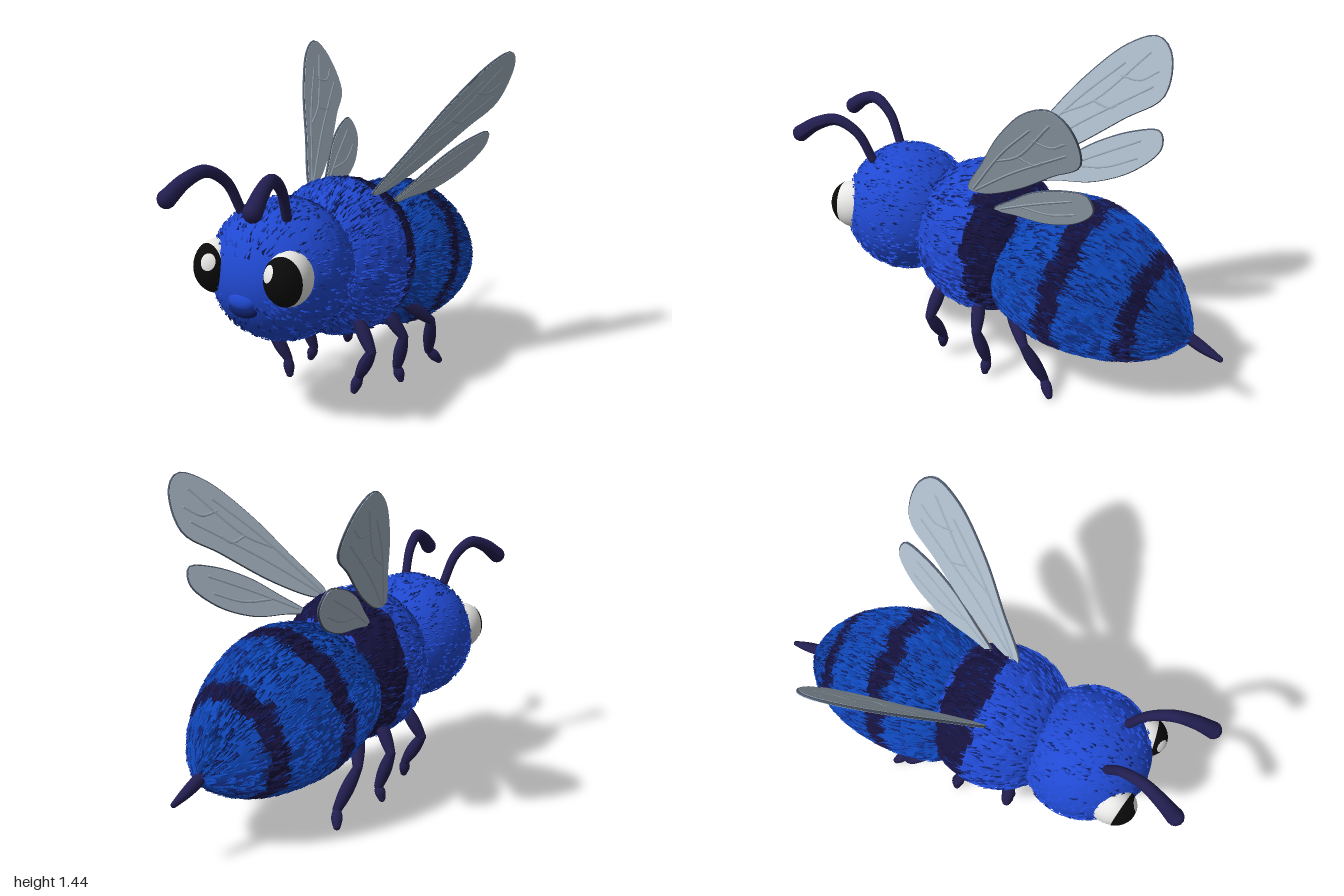
import * as THREE from 'three';

const V = (x, y, z) => new THREE.Vector3(x, y, z);
const paint = (name, color, double) => {
  const m = new THREE.MeshStandardMaterial({ color });
  m.name = name;
  if (double) m.side = THREE.DoubleSide;
  return m;
};

let seed = 7;
const rand = () => {
  seed = (seed * 16807) % 2147483647;
  return seed / 2147483647;
};

// Ellipsoid surface: t runs front to back, a runs around from the top
const ellipsoid = (cy, cz, rx, ry, rz) => (t, a) => {
  const s = Math.sin(Math.PI * t);
  return V(rx * s * Math.sin(a), cy + ry * s * Math.cos(a), cz + rz * Math.cos(Math.PI * t));
};

// Surface through tilted rings [topZ, topY, bottomZ, bottomY, halfWidth]
function ringSurface(rings) {
  const top = new THREE.CatmullRomCurve3(rings.map((r) => V(r[4], r[1], r[0])));
  const bottom = new THREE.CatmullRomCurve3(rings.map((r) => V(0, r[3], r[2])));
  return (t, a) => {
    const p = top.getPoint(t), q = bottom.getPoint(t), k = (1 + Math.cos(a)) / 2;
    return V(p.x * Math.sin(a), q.y + (p.y - q.y) * k, q.z + (p.z - q.z) * k);
  };
}

// Body segment with dark bands and a coat of small tufts
function furryPart(name, surface, coat, band, fleck, o) {
  const g = new THREE.Group();
  g.name = name;
  const N = 72, M = 64, pos = [], plain = [], dark = [];
  const isDark = (t, a) => o.bands.some(([lo, hi]) => {
    const w = 0.008 * Math.sin(a * 9) + 0.006 * Math.sin(a * 17);
    return t > lo + w && t < hi + w;
  });
  for (let i = 0; i <= N; i++) for (let j = 0; j < M; j++) {
    const t = i / N, p = surface(t, (j / M) * Math.PI * 2);
    const c = surface(t, 0).add(surface(t, Math.PI)).multiplyScalar(0.5);
    if (t > o.bald && t < 0.95) p.lerp(c, -(rand() - 0.5) * o.rough);
    pos.push(p.x, p.y, p.z);
  }
  for (let i = 0; i < N; i++) for (let j = 0; j < M; j++) {
    const k = (j + 1) % M, A = i * M + j, B = i * M + k, C = A + M, D = B + M;
    (isDark((i + 0.5) / N, (j / M) * Math.PI * 2) ? dark : plain).push(A, B, C, C, B, D);
  }
  const geo = new THREE.BufferGeometry();
  geo.setAttribute('position', new THREE.Float32BufferAttribute(pos, 3));
  geo.setIndex(plain.concat(dark));
  geo.addGroup(0, plain.length, 0);
  geo.addGroup(plain.length, dark.length, 1);
  geo.computeVertexNormals();
  const skin = new THREE.Mesh(geo, [coat, band]);
  skin.name = name + 'Skin';
  g.add(skin);

  // Tufts lie backwards along the surface
  const tufts = new Map([[coat, []], [band, []], [fleck, []]]);
  for (let n = 0; n < o.count; n++) {
    const t = o.bald + rand() * (0.97 - o.bald), a = rand() * Math.PI * 2, p = surface(t, a);
    const da = surface(t, a + 0.01).sub(p), d = surface(t + 0.01, a).sub(p).normalize();
    if (rand() > da.length() / 0.0033) continue;
    const nrm = da.cross(d).normalize(), s = nrm.clone().cross(d);
    const L = o.length * (0.6 + 0.8 * rand()), w = 0.0035 + 0.003 * rand();
    d.addScaledVector(s, (rand() - 0.5) * 0.5);
    const tip = p.clone().addScaledVector(d, L).addScaledVector(nrm, L * 0.22);
    const mid = p.clone().addScaledVector(nrm, 0.008);
    const l = p.clone().addScaledVector(s, -w), r = p.clone().addScaledVector(s, w);
    const mat = isDark(t, a) ? (rand() < 0.85 ? band : fleck) : rand() < o.flecks ? fleck : coat;
    for (const v of [l, tip, mid, mid, tip, r]) tufts.get(mat).push(v.x, v.y, v.z);
  }
  for (const [mat, list] of tufts) {
    if (!list.length) continue;
    const tg = new THREE.BufferGeometry();
    tg.setAttribute('position', new THREE.Float32BufferAttribute(list, 3));
    tg.computeVertexNormals();
    const m = new THREE.Mesh(tg, mat);
    m.name = name + 'Tufts';
    g.add(m);
  }
  return g;
}

// Round tube with changing radius and rounded ends
function limb(name, points, radius, mat, n = 16) {
  const g = new THREE.Group();
  g.name = name;
  const curve = new THREE.CatmullRomCurve3(points.map((p) => V(...p)));
  const geo = new THREE.TubeGeometry(curve, n, 1, 12), P = geo.attributes.position, v = V();
  for (let i = 0; i < P.count; i++) {
    const t = Math.floor(i / 13) / n, c = curve.getPointAt(t);
    v.fromBufferAttribute(P, i).sub(c).multiplyScalar(radius(t)).add(c);
    P.setXYZ(i, v.x, v.y, v.z);
  }
  geo.computeVertexNormals();
  g.add(new THREE.Mesh(geo, mat));
  for (const t of [0, 1]) {
    const cap = new THREE.Mesh(new THREE.SphereGeometry(radius(t), 12, 8), mat);
    cap.position.copy(curve.getPointAt(t));
    g.add(cap);
  }
  g.children.forEach((c) => (c.name = name + 'Piece'));
  return g;
}

// Thin wing: outline and veins are [z, y] points, x follows a sloping plane
function wing(name, outline, veins, plane, skin, vein, rim) {
  const g = new THREE.Group();
  g.name = name;
  const shape = new THREE.Shape();
  const edge = new THREE.CatmullRomCurve3(outline.map(([z, y]) => V(-z, y, 0)), true).getPoints(60);
  shape.setFromPoints(edge.map((p) => new THREE.Vector2(p.x, p.y)));
  const geo = new THREE.ExtrudeGeometry(shape, { depth: 0.014, bevelEnabled: false });
  const P = geo.attributes.position;
  for (let i = 0; i < P.count; i++) {
    const z = -P.getX(i), y = P.getY(i);
    P.setXYZ(i, plane(z, y) + P.getZ(i) - 0.007, y, z);
  }
  geo.computeVertexNormals();
  const m = new THREE.Mesh(geo, skin);
  m.name = name + 'Membrane';
  g.add(m);
  const to3 = (l) => l.map(([z, y]) => [plane(z, y), y, z]);
  g.add(limb(name + 'Rim', to3(edge.map((p) => [-p.x, p.y])), () => 0.005, rim, 60));
  veins.forEach((l) => g.add(limb(name + 'Vein', to3(l), () => 0.0085, vein, 10)));
  return g;
}

export function createModel() {
  const blue = paint('bright blue fur', 0x2049d2, true), deep = paint('deep blue fur', 0x0e46b8, true);
  const band = paint('dark band fur', 0x15123e, true), fleck = paint('navy fleck fur', 0x102372, true);
  const limbMat = paint('dark purple limbs', 0x221e50), black = paint('black pupil', 0x0a0a0a);
  const white = paint('eye white', 0xe8e8e6), wingMat = paint('grey wing', 0xabbac8, true);
  const veinMat = paint('wing vein', 0x9eadbb), rimMat = paint('wing rim', 0x4f5a6c);
  const model = new THREE.Group();
  model.name = 'bee';

  // Body
  model.add(furryPart('head', ellipsoid(0.635, 0.525, 0.29, 0.285, 0.28), blue, band, fleck,
    { bands: [], bald: 0.12, rough: 0.01, count: 2200, length: 0.023, flecks: 0.25 }));
  model.add(furryPart('thorax', ellipsoid(0.588, 0.11, 0.315, 0.335, 0.32), blue, band, fleck,
    { bands: [[0.54, 0.745]], bald: 0.1, rough: 0.035, count: 4200, length: 0.036, flecks: 0.33 }));
  const abdomen = ringSurface([
    [0, 0.7, 0.03, 0.36, 0.22], [-0.12, 0.79, -0.06, 0.28, 0.285], [-0.27, 0.835, -0.15, 0.22, 0.315],
    [-0.4, 0.83, -0.24, 0.185, 0.32], [-0.52, 0.785, -0.37, 0.17, 0.308], [-0.63, 0.71, -0.52, 0.175, 0.272],
    [-0.72, 0.61, -0.66, 0.205, 0.215], [-0.79, 0.505, -0.76, 0.25, 0.14], [-0.835, 0.4, -0.825, 0.3, 0.06],
    [-0.853, 0.346, -0.853, 0.344, 0.001]]);
  model.add(furryPart('abdomen', abdomen, deep, band, fleck,
    { bands: [[0.295, 0.38], [0.585, 0.66]], bald: 0.08, rough: 0.04, count: 7500, length: 0.038, flecks: 0.33 }));
  model.add(limb('stinger', [[0, 0.36, -0.8], [0, 0.31, -0.9], [0, 0.272, -0.988]],
    (t) => 0.012 + 0.014 * Math.sin(Math.PI * Math.min(1, t * 0.8 + 0.2)), limbMat));

  // Nose and mouth
  const ball = (name, mat, p, r) => {
    const m = new THREE.Mesh(new THREE.SphereGeometry(1, 32, 20), mat);
    m.name = name;
    m.position.set(...p);
    m.scale.set(...r);
    return m;
  };
  model.add(ball('nose', blue, [0, 0.568, 0.777], [0.066, 0.042, 0.036]));
  model.add(ball('mouth', fleck, [0, 0.537, 0.772], [0.068, 0.038, 0.036]));

  // Everything that comes in pairs, built for the left and mirrored
  const side = (name) => {
    const g = new THREE.Group();
    g.name = name;
    const at = [0.17, 0.667, 0.71], r = [0.09, 0.108, 0.108];
    g.add(ball('eyeball', white, at, r));
    const cap = (label, mat, half, grow, up, turn) => {
      const geo = new THREE.SphereGeometry(1, 32, 14, 0, Math.PI * 2, 0, half);
      const m = new THREE.Mesh(geo.rotateX(Math.PI / 2 - up).rotateY(turn), mat);
      m.name = label;
      m.position.set(...at);
      m.scale.set(...r.map((v) => v * grow));
      g.add(m);
    };
    cap('pupil', black, 1.09, 1.025, 0, 0.15);
    cap('eyeHighlight', white, 0.31, 1.045, 0.36, -0.32);

    g.add(limb('antenna', [[0.11, 0.88, 0.64], [0.13, 1.0, 0.7], [0.155, 1.055, 0.79],
      [0.18, 1.03, 0.88], [0.2, 0.975, 0.96]], (t) => 0.02 + 0.017 * t * t, limbMat, 24));

    const legs = {
      frontLeg: [[0.17, 0.39, 0.25], [0.258, 0.25, 0.27], [0.185, 0.125, 0.25], [0.168, 0.06, 0.262]],
      middleLeg: [[0.17, 0.39, 0.06], [0.268, 0.245, 0.025], [0.222, 0.09, 0], [0.24, 0.037, 0]],
      hindLeg: [[0.17, 0.38, -0.08], [0.27, 0.25, -0.21], [0.22, 0.075, -0.285], [0.252, 0.022, -0.325]],
    };
    for (const [label, j] of Object.entries(legs)) {
      [0.029, 0.028, 0.023].forEach((w, i) => g.add(limb(label + ['Thigh', 'Shin', 'Foot'][i],
        [j[i], j[i + 1]], (t) => w * (0.7 + 0.34 * Math.sin(Math.PI * t)), limbMat, 8)));
    }

    g.add(wing('forewing',
      [[0.11, 0.875], [-0.02, 1.06], [-0.155, 1.24], [-0.32, 1.395], [-0.44, 1.435], [-0.51, 1.37],
        [-0.515, 1.21], [-0.37, 1.11], [-0.155, 0.965], [0.04, 0.875]],
      [[[0.08, 0.89], [-0.15, 1.16], [-0.32, 1.32]], [[0.07, 0.885], [-0.17, 1.06], [-0.46, 1.24]],
        [[-0.1, 1.1], [-0.22, 1.16], [-0.42, 1.37]], [[-0.22, 1.16], [-0.3, 1.14], [-0.34, 1.17]],
        [[-0.32, 1.27], [-0.4, 1.26], [-0.47, 1.3]]],
      (z, y) => 0.375 + 0.48 * (y - 1.24) - 0.15 * (z + 0.155), wingMat, veinMat, rimMat));
    g.add(wing('hindwing',
      [[-0.02, 0.815], [-0.13, 0.9], [-0.26, 0.99], [-0.42, 1.055], [-0.525, 1.065], [-0.543, 1.0],
        [-0.45, 0.905], [-0.29, 0.84], [-0.13, 0.825]],
      [[[-0.06, 0.835], [-0.25, 0.93], [-0.45, 1.02]], [[-0.18, 0.89], [-0.32, 0.9], [-0.45, 0.95]]],
      (z, y) => 0.19 + 0.44 * (y - 0.835) - 0.17 * (z + 0.06), wingMat, veinMat, rimMat));
    return g;
  };
  const right = side('rightSide');
  right.scale.x = -1;
  model.add(side('leftSide'), right);
  return model;
}
